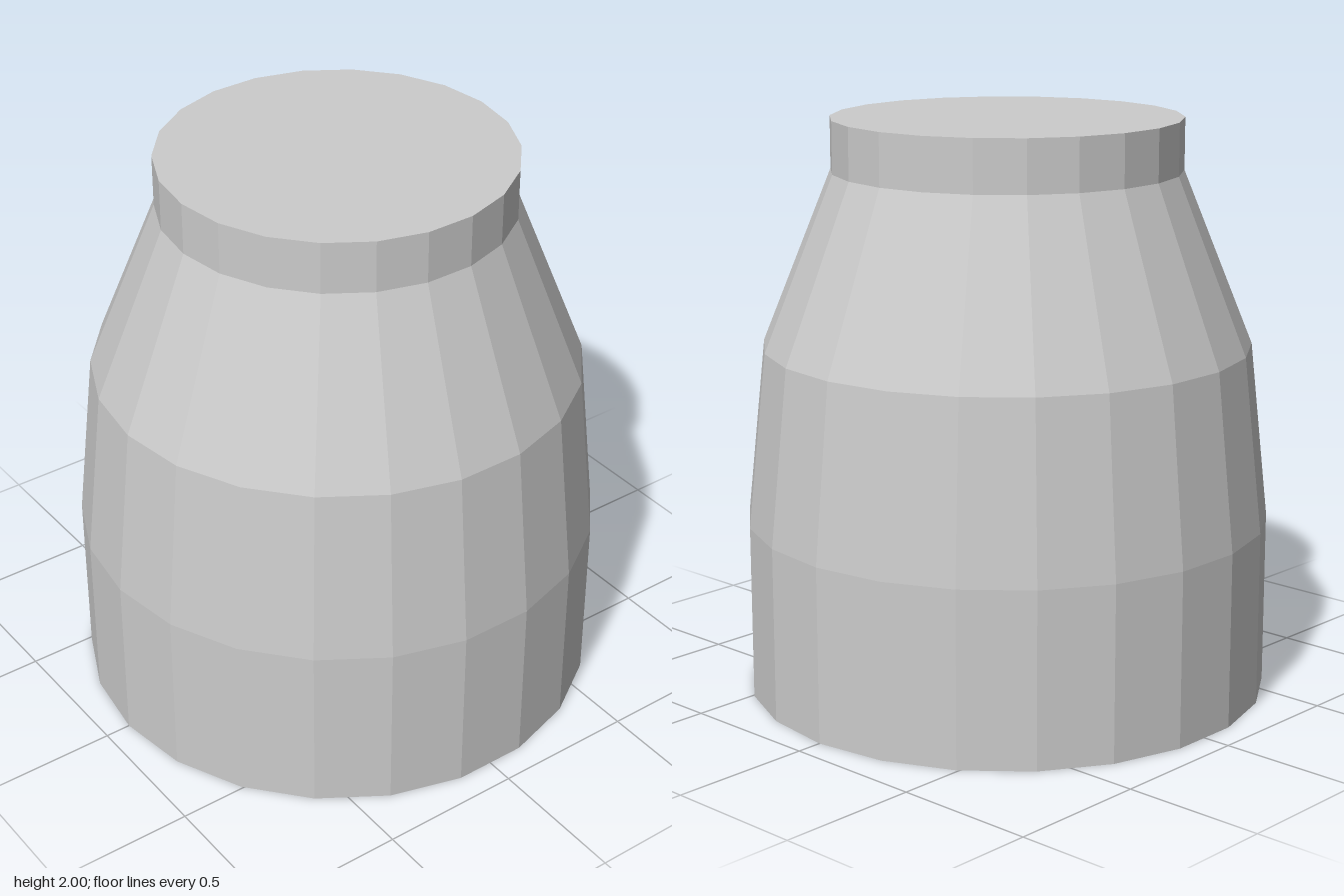
import * as THREE from 'three';

export function createModel() {
  const group = new THREE.Group();
  group.name = 'taperedCap';

  const material = new THREE.MeshStandardMaterial({ color: 0xcccccc, flatShading: true });

  // Profile runs from the cavity ceiling, down the inner wall, around the rim and up the outside
  const profile = [
    [0, 0.65], [0.825, 0.65], // cavity ceiling
    [0.825, 0], [0.91, 0],    // bottom rim
    [0.91, 0.61],             // straight skirt
    [0.845, 1.22],            // slight taper
    [0.603, 1.82],            // shoulder
    [0.603, 2], [0, 2],       // neck and flat top
  ].map(([r, y]) => new THREE.Vector2(r, y));

  const body = new THREE.Mesh(new THREE.LatheGeometry(profile, 22), material);
  body.name = 'hollowBody';
  group.add(body);

  return group;
}
